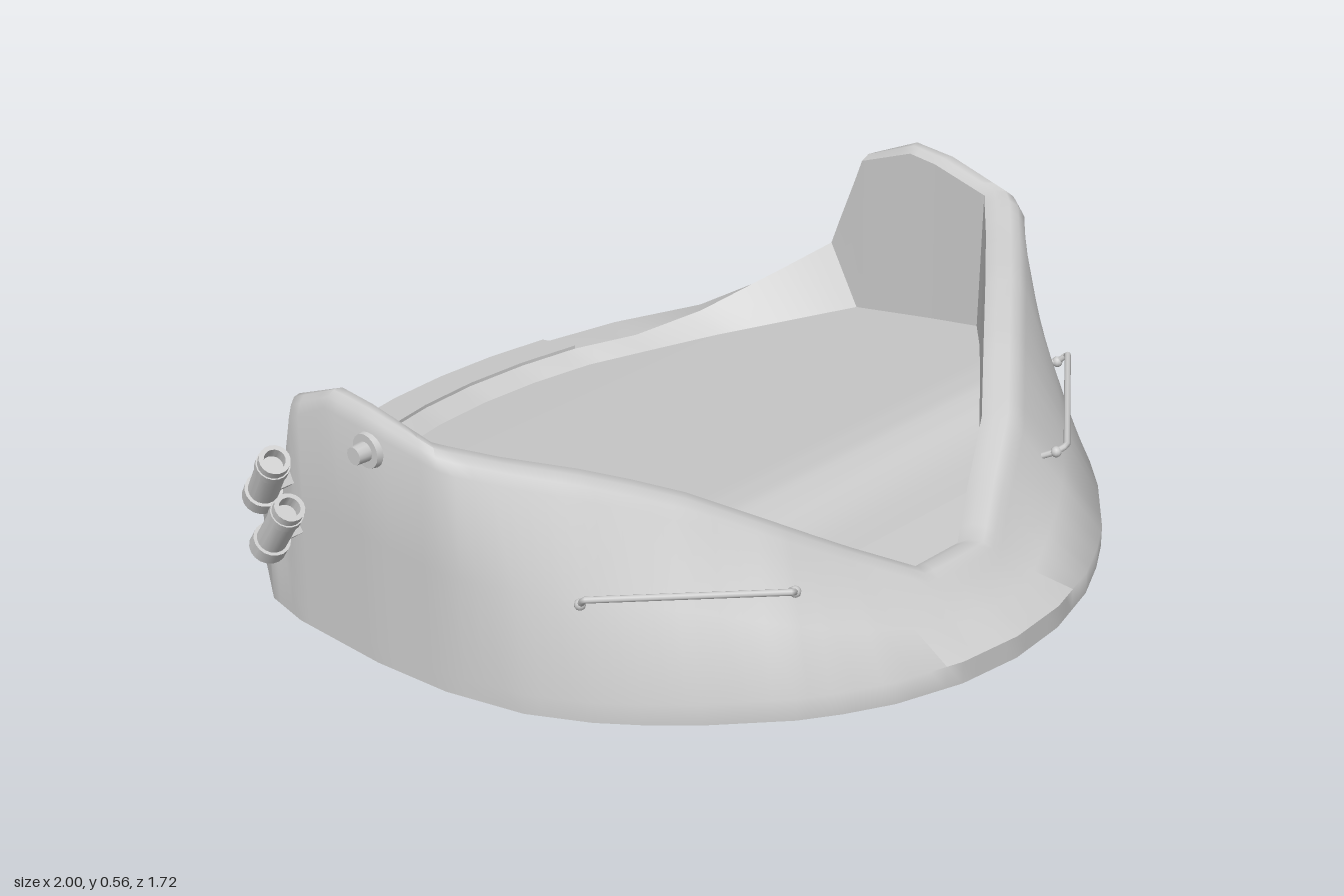
import * as THREE from 'three';
import { toCreasedNormals } from 'three/addons/utils/BufferGeometryUtils.js';

const material = new THREE.MeshStandardMaterial({ color: 0xcccccc, side: THREE.DoubleSide });
const V = (x, y, z) => new THREE.Vector3(x, y, z);
const SUB = 4;

// Half contour, front centre to back centre:
// base x, z | rim x, y, z | how far the inner wall leans in
const STATIONS = [
  [0, .86, 0, .165, .64, 0],
  [.15, .845, .07, .165, .64, 0],
  [.3, .8, .19, .23, .565, 0],
  [.4, .75, .255, .27, .528, 0],
  [.48, .7, .32, .31, .49, 0],
  [.62, .58, .46, .39, .375, 0],
  [.7, .495, .54, .425, .31, 0],
  [.76, .42, .62, .455, .245, 0],
  [.83, .3, .74, .49, .145, 0],
  [.88, .13, .835, .525, .06, 0],
  [.9, -.05, .84, .555, -.09, 0],
  [.9, -.18, .84, .56, -.165, .01],
  [.9, -.29, .84, .5, -.31, .03],
  [.88, -.4, .84, .25, -.4, .09],
  [.8, -.52, .72, .19, -.47, .08],
  [.65, -.65, .56, .115, -.56, .065],
  [.47, -.76, .42, .074, -.637, .055],
  [.29, -.82, .29, .059, -.71, .05],
  [.15, -.85, .15, .053, -.742, .045],
  [0, -.86, 0, .05, -.755, .045],
];
const HALF = (STATIONS.length - 1) * SUB;

// Heights along z: the sloping floor, and the cut that lowers the back
const FLOOR = [[-.72, .02], [-.5, .075], [.25, .226], [.32, .234], [.38, .224], [.44, .19], [.49, .13]];
const BACK_CUT = [[-.86, .03], [-.6, .08], [-.4, .25]];
function heightAt(pts, z) {
  if (z <= pts[0][0]) return pts[0][1];
  for (let i = 1; i < pts.length; i++) {
    const [z0, y0] = pts[i - 1], [z1, y1] = pts[i];
    if (z <= z1) return y0 + (y1 - y0) * (z - z0) / (z1 - z0);
  }
  return pts[pts.length - 1][1];
}

// Closed, mirrored, faceted ring through one point per station
function ring(pick) {
  const right = STATIONS.map(pick);
  const left = right.slice(1, -1).reverse().map(p => V(-p.x, p.y, p.z));
  const all = [...right, ...left];
  return all.flatMap((p, i) => Array.from({ length: SUB },
    (_, k) => p.clone().lerp(all[(i + 1) % all.length], k / SUB)));
}

// Skin over rows of points
function loft(rows, closed = false) {
  const n = rows[0].length, idx = [];
  const last = closed ? rows.length : rows.length - 1;
  for (let i = 0; i < last; i++) {
    const a = i * n, b = ((i + 1) % rows.length) * n;
    for (let j = 0; j < n - 1; j++) idx.push(a + j, b + j, a + j + 1, b + j, b + j + 1, a + j + 1);
  }
  const g = new THREE.BufferGeometry().setFromPoints(rows.flat());
  g.setIndex(idx);
  g.computeVertexNormals();
  return g;
}

function add(parent, name, geometry) {
  const m = new THREE.Mesh(geometry, material);
  m.name = name;
  parent.add(m);
  return m;
}

function buildFittings(side) {
  const g = new THREE.Group();
  g.name = side > 0 ? 'leftFittings' : 'rightFittings';
  const P = (x, y, z) => V(side * x, y, z);

  // Bent wire rail with round feet
  const path = new THREE.CurvePath();
  const pts = [P(.715, .23, .345), P(.735, .233, .365), P(.745, .255, .385),
    P(.425, .24, .637), P(.405, .228, .625), P(.39, .215, .6)];
  for (let i = 1; i < pts.length; i++) path.add(new THREE.LineCurve3(pts[i - 1], pts[i]));
  add(g, 'wireRail', new THREE.TubeGeometry(path, 60, .007, 8));
  for (const p of [pts[1], pts[4]]) add(g, 'railFoot', new THREE.SphereGeometry(.012, 10, 8)).position.copy(p);

  // Pivot bolt: flange and knob
  const flange = add(g, 'boltFlange', new THREE.CylinderGeometry(.036, .042, .025, 20));
  const knob = add(g, 'boltKnob', new THREE.CylinderGeometry(.019, .022, .06, 12));
  for (const [m, x] of [[flange, .893], [knob, .905]]) {
    m.position.copy(P(x, .48, -.05));
    m.rotation.z = -side * Math.PI / 2;
  }

  // Pair of hollow tubes with a collar at the lower end and a band near the top
  const tubes = [[P(.93, .275, -.355), P(.967, .41, -.255)], [P(.937, .17, -.335), P(.953, .305, -.235)]];
  for (const [a, b] of tubes) {
    const len = a.distanceTo(b);
    const profile = [[0, .02], [.025, .02], [.025, 0], [.039, 0], [.039, .035], [.032, .035],
      [.032, len - .04], [.035, len - .04], [.035, len - .02], [.032, len - .02],
      [.032, len], [.022, len], [.022, len - .03], [0, len - .03]].map(p => new THREE.Vector2(...p));
    const tube = add(g, 'sideTube', toCreasedNormals(new THREE.LatheGeometry(profile, 18), .6));
    tube.position.copy(a);
    tube.quaternion.setFromUnitVectors(V(0, 1, 0), b.clone().sub(a).normalize());
    const mount = add(g, 'tubeMount', new THREE.BoxGeometry(.05, .05, .035));
    mount.position.copy(a).lerp(b, .4);
    mount.position.x = side * .905;
    mount.rotation.x = -.65;
  }
  return g;
}

export function createModel() {
  const model = new THREE.Group();
  model.name = 'basin';

  const base = ring(s => V(s[0], 0, s[1]));
  const edge = ring(s => V(s[0], s[1] < -.35 ? heightAt(BACK_CUT, s[1]) : .04 + .012 * s[1], s[1]));
  const rim = ring(s => V(s[2], s[3], s[4]));
  const foot = ring(s => V(s[2] * .99, 0, s[4] + s[5]));
  foot.forEach(p => { p.y = heightAt(FLOOR, p.z); });

  // Outer wall: rounded lip on the tall rim, plain cut face at the low back
  const outer = rim.map((r, i) => {
    const e = edge[i];
    const back = THREE.MathUtils.smoothstep(-r.z, .31, .4);
    const out = V(e.x - r.x, 0, e.z - r.z), dist = out.length();
    out.normalize();
    const lip = (w, drop, t) => {
      const round = r.clone().addScaledVector(out, w * Math.min(1, dist / .095));
      round.y -= drop;
      return round.lerp(r.clone().lerp(e, t), back);
    };
    const shoulder = lip(.09, .035, .8);
    return [base[i], e, e.clone().lerp(shoulder, .5), shoulder,
      lip(.075, .012, .6), lip(.055, 0, .4), lip(.025, .001, .2), lip(0, .015, 0)];
  });
  add(model, 'outerWall', toCreasedNormals(loft(outer, true), .95));

  // Inner wall
  add(model, 'innerWall', toCreasedNormals(loft(outer.map((row, i) => [row[7], foot[i]]), true), .4));

  // Floor and underside, spanned from side to side
  const mirrorX = p => V(-p.x, p.y, p.z);
  add(model, 'floor', toCreasedNormals(loft(foot.slice(0, HALF + 1).map(p => [p, mirrorX(p)])), .5));
  add(model, 'underside', loft(base.slice(0, HALF + 1).map(p => [mirrorX(p), p])));

  // Raised panel on the back rim
  const panel = [], first = HALF - 2 * SUB, end = HALF + 2 * SUB;
  for (let i = first; i <= end; i++) {
    const e = edge[i], r = rim[i];
    const section = h => [e, e.clone().setY(e.y + h), r.clone().setY(r.y + h), r];
    if (i === first) panel.push(section(0));
    panel.push(section(.008));
    if (i === end) panel.push(section(0));
  }
  add(model, 'backPanel', toCreasedNormals(loft(panel), .5));

  for (const side of [1, -1]) model.add(buildFittings(side));
  return model;
}
